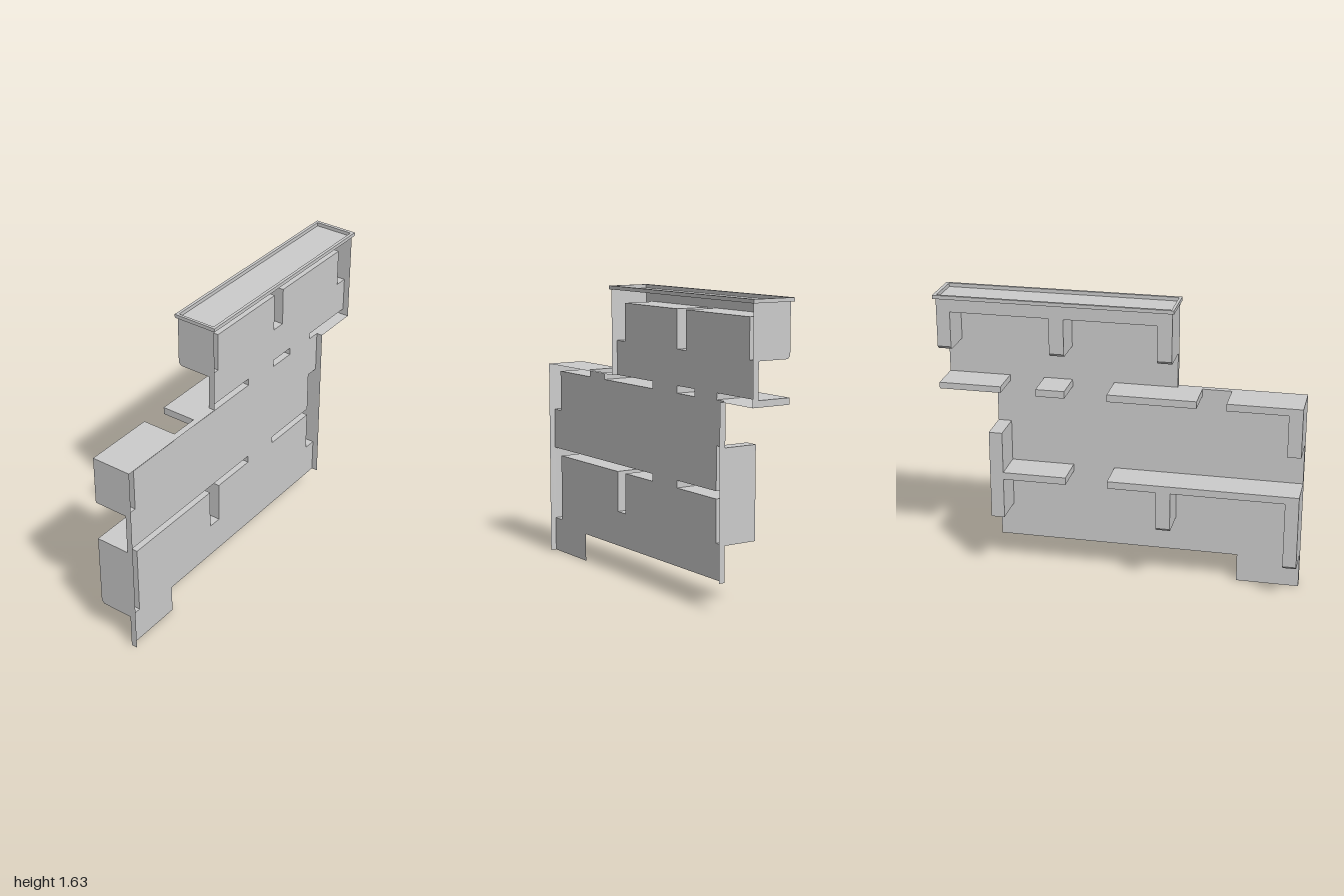
import * as THREE from 'three';

const FRONT = 0.115, PANEL = 0.08, BACK = -0.115, BEVEL = 0.016;
const ROOF = 1.612, TOP = 1.135;

// Outline of the wall, counter-clockwise; its bottom edges stay open
const OUTLINE = [
  [-0.65, 0.16], [0.715, 0.16], [0.715, 1.1], [0.985, 1.1], [0.985, ROOF],
  [-0.3, ROOF], [-0.3, TOP], [-1, TOP], [-1, 0], [-0.65, 0],
];
const RIM = OUTLINE.slice(1, 9);

const rect = (x0, x1, y0, y1) => [[x0, y0], [x1, y0], [x1, y1], [x0, y1]];

// Hollow boxes pushed out of the back of the wall; a third value of 1 marks a bevelled foot
const RECESSES = {
  upperBox: [
    [-0.3, 1.328, 1], [-0.22, 1.328, 1], [-0.22, 1.54], [0.285, 1.54],
    [0.285, 1.328, 1], [0.365, 1.328, 1], [0.365, 1.54], [0.91, 1.54],
    [0.91, 1.328, 1], [0.985, 1.328, 1], [0.985, ROOF], [-0.3, ROOF],
  ],
  upperLeftCorner: [
    [-1, 0.86], [-0.925, 0.86], [-0.925, 1.095], [-0.595, 1.095], [-0.595, TOP], [-1, TOP],
  ],
  upperMiddleShelf: rect(-0.435, 0.052, 1.095, TOP),
  upperSmallShelf: rect(0.285, 0.445, 1.095, TOP),
  upperRightShelf: rect(0.64, 0.985, 1.1, TOP),
  lowerLeftFrame: [
    [-1, 0.197, 1], [-0.925, 0.197, 1], [-0.925, 0.587], [-0.3, 0.587],
    [-0.3, 0.357, 1], [-0.22, 0.357, 1], [-0.22, 0.587], [0.052, 0.587], [0.052, 0.628], [-1, 0.628],
  ],
  rightColumn: [
    [0.64, 0.355], [0.715, 0.355], [0.715, 0.863], [0.64, 0.863],
    [0.64, 0.628], [0.285, 0.628], [0.285, 0.587], [0.64, 0.587],
  ],
};

const material = new THREE.MeshStandardMaterial({ color: 0xcccccc, side: THREE.DoubleSide });

function meshFrom(name, positions) {
  const geometry = new THREE.BufferGeometry();
  geometry.setAttribute('position', new THREE.Float32BufferAttribute(positions, 3));
  geometry.computeVertexNormals();
  const mesh = new THREE.Mesh(geometry, material);
  mesh.name = name;
  return mesh;
}

const quad = (out, a, b, c, d) => out.push(...a, ...b, ...c, ...a, ...c, ...d);

// Skin between two loops of 3D points
function skin(out, near, far, closed) {
  const n = near.length;
  for (let i = 0; i < (closed ? n : n - 1); i++) {
    const j = (i + 1) % n;
    quad(out, near[i], far[i], far[j], near[j]);
  }
}

const atDepth = (points, z) => points.map(([x, y]) => [x, y, z]);

// Open-fronted box: side walls, bevelled feet and a back face
function recess(name, points) {
  const out = [];
  const loops = [
    atDepth(points, PANEL),
    atDepth(points, BACK + BEVEL),
    points.map(([x, y, foot]) => [x, y + (foot ? BEVEL : 0), BACK]),
  ];
  skin(out, loops[0], loops[1], true);
  skin(out, loops[1], loops[2], true);
  const contour = loops[2].map(([x, y]) => new THREE.Vector2(x, y));
  for (const [a, b, c] of THREE.ShapeUtils.triangulateShape(contour, [])) {
    out.push(...loops[2][c], ...loops[2][b], ...loops[2][a]);
  }
  return meshFrom(name, out);
}

function inside(points, x, y) {
  let hit = false;
  points.forEach(([ax, ay], i) => {
    const [bx, by] = points[(i + 1) % points.length];
    if ((ay > y) !== (by > y) && x < ax + ((bx - ax) * (y - ay)) / (by - ay)) hit = !hit;
  });
  return hit;
}

// Flat wall made of grid cells, left open where a recess begins
function panel() {
  const out = [];
  const recesses = Object.values(RECESSES);
  const all = [OUTLINE, ...recesses].flat();
  const axis = (k) => [...new Set(all.map((p) => p[k]))].sort((a, b) => a - b);
  const xs = axis(0), ys = axis(1);
  for (let i = 0; i < xs.length - 1; i++) {
    for (let j = 0; j < ys.length - 1; j++) {
      const [x0, x1, y0, y1] = [xs[i], xs[i + 1], ys[j], ys[j + 1]];
      const x = (x0 + x1) / 2, y = (y0 + y1) / 2;
      if (!inside(OUTLINE, x, y) || recesses.some((r) => inside(r, x, y))) continue;
      quad(out, [x0, y0, PANEL], [x0, y1, PANEL], [x1, y1, PANEL], [x1, y0, PANEL]);
    }
  }
  return meshFrom('wallPanel', out);
}

// Raised border around the flat roof
function roofBorder() {
  const trace = (path, x0, x1, y0, y1) =>
    path.setFromPoints(rect(x0, x1, y0, y1).map(([x, y]) => new THREE.Vector2(x, y)));
  const shape = trace(new THREE.Shape(), -0.31, 1, -0.125, 0.127);
  shape.holes.push(trace(new THREE.Path(), -0.295, 0.98, -0.108, 0.11));
  const geometry = new THREE.ExtrudeGeometry(shape, { depth: 0.02, bevelEnabled: false });
  geometry.rotateX(-Math.PI / 2).translate(0, ROOF, 0);
  const mesh = new THREE.Mesh(geometry, material);
  mesh.name = 'roofBorder';
  return mesh;
}

export function createModel() {
  const group = new THREE.Group();
  group.name = 'buildingFacade';
  group.add(panel());

  // Thin edge strip running forward from the panel
  const strip = [];
  skin(strip, atDepth(RIM, FRONT), atDepth(RIM, PANEL), false);
  group.add(meshFrom('wallEdge', strip));

  for (const [name, points] of Object.entries(RECESSES)) group.add(recess(name, points));
  group.add(roofBorder());
  return group;
}
